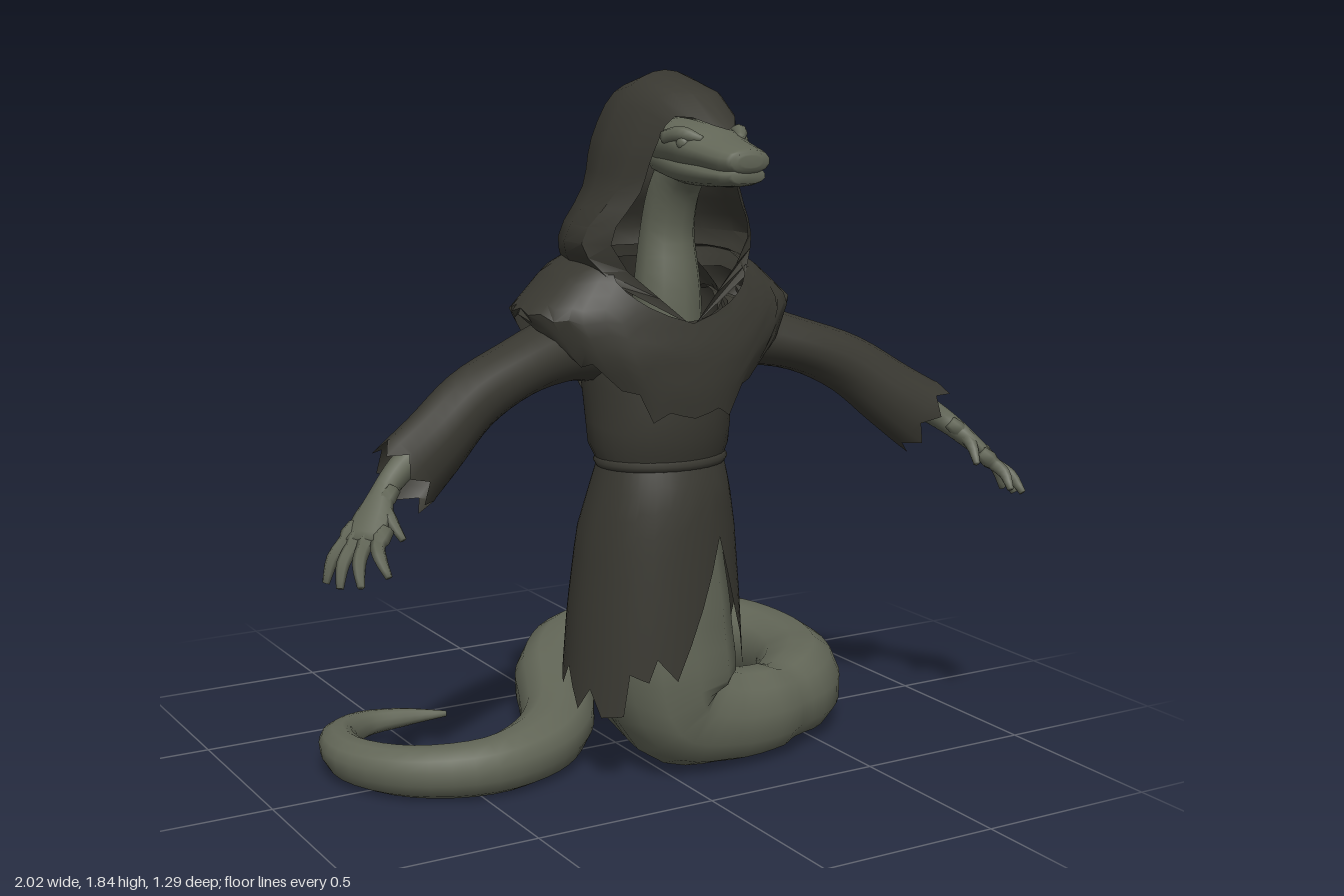
import * as THREE from 'three';
import { toCreasedNormals } from 'three/addons/utils/BufferGeometryUtils.js';

const V = (x, y, z) => new THREE.Vector3(x, y, z);
const lerp = THREE.MathUtils.lerp;
const bulge = (v, power) => Math.sign(v) * Math.abs(v) ** power;

// Surface through rows of points; wrap closes each row into a ring
function grid(rows, wrap = false) {
  const n = rows[0].length, index = [];
  for (let i = 0; i < rows.length - 1; i++) {
    for (let j = 0; j < (wrap ? n : n - 1); j++) {
      const k = (j + 1) % n, a = i * n + j, b = i * n + k;
      index.push(a, b, a + n, b, b + n, a + n);
    }
  }
  const geo = new THREE.BufferGeometry().setFromPoints(rows.flat());
  geo.setIndex(index);
  geo.computeVertexNormals();
  return geo;
}

// Tapered tube through [x, y, z, width, height] points, s mirrors x
function loft(pts, { s = 1, up = V(0, 1, 0), sides = 10, steps = 4, jag = 0, cap = true, power = 1 } = {}) {
  const path = new THREE.CatmullRomCurve3(pts.map(p => V(p[0] * s, p[1], p[2])));
  const size = new THREE.CatmullRomCurve3(pts.map(p => V(p[3], p[4] ?? p[3], 0)));
  const count = (pts.length - 1) * steps, rows = [], n = up.clone();
  for (let i = 0; i <= count; i++) {
    const c = path.getPoint(i / count), t = path.getTangent(i / count), r = size.getPoint(i / count);
    n.addScaledVector(t, -n.dot(t)).normalize();
    const b = t.clone().cross(n), row = [];
    for (let j = 0; j < sides; j++) {
      const a = j / sides * Math.PI * 2, p = c.clone();
      p.addScaledVector(n, bulge(Math.cos(a), power) * r.y).addScaledVector(b, bulge(Math.sin(a), power) * r.x);
      if (i === count) p.addScaledVector(t, j % 2 ? jag : -jag);
      row.push(p);
    }
    if (cap && i === 0) rows.push(row.map(() => c.clone()));
    rows.push(row);
    if (cap && i === count) rows.push(row.map(() => c.clone()));
  }
  return grid(rows, true);
}

// Cloth hung round the body: profile rows are [y, rx, centre z, rz] from the
// top down, the hem is [degrees from the front, y]
function cloth(profile, hem, { top = () => profile[0][0], power = 1, steps = 9 } = {}) {
  const at = y => {
    let i = 1;
    while (i < profile.length - 1 && profile[i][0] > y) i++;
    const a = profile[i - 1], b = profile[i];
    const k = THREE.MathUtils.clamp((a[0] - y) / (a[0] - b[0]), 0, 1);
    return a.map((v, q) => lerp(v, b[q], k));
  };
  const cols = [];
  hem.forEach(([d, y], i) => {
    const next = hem[i + 1];
    if (!next) return cols.push([d, y]);
    const m = Math.ceil((next[0] - d) / 11);
    for (let q = 0; q < m; q++) cols.push([lerp(d, next[0], q / m), lerp(y, next[1], q / m)]);
  });
  return toCreasedNormals(grid(cols.map(([d, low]) => {
    const a = d * Math.PI / 180, col = [];
    for (let j = 0; j <= steps; j++) {
      const y = lerp(top(d), low, j / steps), [, rx, cz, rz] = at(y);
      col.push(V(bulge(Math.sin(a), power) * rx, y, cz + bulge(Math.cos(a), power) * rz));
    }
    return col;
  })), 0.6);
}

export function createModel() {
  const model = new THREE.Group();
  const skin = new THREE.MeshStandardMaterial({ color: 0x626657 });
  skin.name = 'scaly skin';
  const robe = new THREE.MeshStandardMaterial({ color: 0x393831, side: THREE.DoubleSide });
  robe.name = 'dark cloth';
  const add = (name, geo, mat, parent = model) => {
    const mesh = new THREE.Mesh(geo, mat);
    mesh.name = name;
    parent.add(mesh);
    return mesh;
  };

  // Serpent body, coiling on the ground and tapering to the tail tip
  const trunk = [
    [0, 0.95, 0.235, 0.09], [0, 0.82, 0.235, 0.105], [0.01, 0.66, 0.215, 0.15], [0.02, 0.45, 0.207, 0.176],
    [0.03, 0.3, 0.21, 0.182], [0.06, 0.172, 0.225, 0.166], [0.18, 0.127, 0.248, 0.13], [0.33, 0.118, 0.235, 0.118]];
  const coil = [
    [0.48, 0.118, 0.16, 0.118], [0.585, 0.118, 0.02, 0.118], [0.627, 0.118, -0.16, 0.117],
    [0.6, 0.118, -0.335, 0.118, 0.122], [0.5, 0.118, -0.465, 0.118, 0.126], [0.32, 0.118, -0.518, 0.118, 0.13],
    [0.13, 0.116, -0.465, 0.116, 0.126], [-0.02, 0.106, -0.315, 0.106, 0.118], [-0.1, 0.094, -0.16, 0.094, 0.108]];
  const tail = [
    [-0.18, 0.084, -0.01, 0.084, 0.1], [-0.3, 0.077, 0.11, 0.077, 0.089], [-0.47, 0.07, 0.165, 0.07, 0.073],
    [-0.65, 0.064, 0.09, 0.064], [-0.748, 0.062, -0.07, 0.058], [-0.725, 0.062, -0.23, 0.05],
    [-0.62, 0.06, -0.32, 0.037], [-0.5, 0.06, -0.32, 0.026], [-0.38, 0.06, -0.29, 0.008]];
  add('serpentBody', loft([...trunk, ...coil, ...tail], { up: V(0, 0, 1), sides: 12, power: 0.86 }), skin);
  // Fold of the body resting behind the skirt
  add('bodyFold', loft([[0, 0.26, 0.2, 0.15], [0.06, 0.16, 0.1, 0.14], [0.13, 0.115, 0.0, 0.115],
    [0.185, 0.1, -0.07, 0.092], [0.225, 0.085, -0.125, 0.04]], { up: V(0, 0, 1), sides: 14 }), skin);

  // Torn skirt with a slit at the front
  add('skirt', cloth(
    [[0.86, 0.17, 0.235, 0.135], [0.78, 0.188, 0.23, 0.167], [0.66, 0.212, 0.212, 0.195],
      [0.45, 0.234, 0.203, 0.212], [0.2, 0.253, 0.2, 0.222]],
    [[-12, 0.3], [24, 0.66], [40, 0.46], [50, 0.38], [56, 0.27], [63, 0.42], [70, 0.38], [78, 0.45], [88, 0.38],
      [95, 0.4], [104, 0.31], [112, 0.34], [120, 0.28], [130, 0.33], [145, 0.25], [155, 0.3], [165, 0.24],
      [175, 0.31], [185, 0.25], [195, 0.31], [208, 0.24], [218, 0.31], [230, 0.23], [242, 0.3], [255, 0.25],
      [265, 0.31], [280, 0.21], [290, 0.27], [300, 0.2], [315, 0.21], [318, 0.32], [330, 0.3], [335, 0.36],
      [348, 0.3]]), robe);

  // Torso and belt
  add('torso', cloth(
    [[1.36, 0.13, 0.18, 0.1], [1.25, 0.2, 0.2, 0.16], [1.1, 0.205, 0.21, 0.18], [0.98, 0.195, 0.22, 0.175],
      [0.9, 0.192, 0.225, 0.163], [0.84, 0.168, 0.235, 0.133]],
    [[0, 0.84], [360, 0.84]], { top: d => 1.36 - 0.14 * Math.max(0, Math.cos(d * Math.PI / 180)) }), robe);
  const belt = add('belt', new THREE.TorusGeometry(1, 0.09, 6, 32), robe);
  belt.rotation.x = Math.PI / 2;
  belt.scale.set(0.168, 0.135, 0.17);
  belt.position.set(0, 0.853, 0.235);

  // Ragged mantle over the shoulders, with a V neck
  const half = [[0, 0.98], [14, 1.0], [26, 0.975], [34, 1.05], [45, 1.06], [52, 1.13], [62, 1.12], [70, 1.19],
    [80, 1.21], [90, 1.245], [104, 1.22], [116, 1.15], [122, 1.17], [134, 1.08], [142, 1.04], [150, 1.05],
    [165, 0.93], [172, 0.93], [180, 0.85]];
  const mirrored = half.slice(1).reverse().map(([d, y]) => [-d, y]);
  add('mantle', cloth(
    [[1.4, 0.17, 0.17, 0.16], [1.35, 0.28, 0.175, 0.18], [1.25, 0.39, 0.19, 0.2], [1.15, 0.335, 0.2, 0.212],
      [1.05, 0.24, 0.205, 0.21], [0.97, 0.218, 0.203, 0.203], [0.86, 0.2, 0.2, 0.2]],
    [...mirrored, ...half],
    { top: d => lerp(1.22, 1.38, Math.min(1, Math.abs(d) / 50)), power: 0.82 }), robe);

  // Hood: arches from the rim to the back, each from crown to shoulder
  const arches = [
    [[0, 1.705, 0.55], [0.085, 1.735, 0.44], [0.12, 1.65, 0.4], [0.14, 1.55, 0.37], [0.2, 1.42, 0.33], [0.005, 1.215, 0.392]],
    [[0, 1.785, 0.45], [0.09, 1.78, 0.37], [0.15, 1.66, 0.35], [0.18, 1.55, 0.32], [0.25, 1.42, 0.27], [0.19, 1.32, 0.335]],
    [[0, 1.842, 0.25], [0.1, 1.803, 0.25], [0.165, 1.67, 0.24], [0.19, 1.55, 0.22], [0.252, 1.42, 0.18], [0.215, 1.33, 0.18]],
    [[0, 1.815, 0.15], [0.09, 1.785, 0.15], [0.145, 1.67, 0.13], [0.165, 1.55, 0.12], [0.215, 1.42, 0.08], [0.19, 1.32, 0.08]],
    [[0, 1.755, 0.06], [0.075, 1.735, 0.07], [0.11, 1.65, 0.065], [0.12, 1.55, 0.055], [0.15, 1.42, 0], [0.13, 1.32, 0.01]],
    [[0, 1.68, 0], [0.04, 1.665, 0.02], [0.06, 1.6, 0.035], [0.06, 1.53, 0.03], [0.07, 1.42, -0.03], [0.06, 1.32, -0.005]],
    [[0, 1.665, 0], [0, 1.65, 0.01], [0, 1.6, 0.028], [0, 1.53, 0.02], [0, 1.42, -0.035], [0, 1.32, -0.005]],
  ];
  add('hood', toCreasedNormals(grid(arches.map(a => {
    const full = [...a.slice(1).reverse().map(p => V(-p[0], p[1], p[2])), ...a.map(p => V(...p))];
    return new THREE.CatmullRomCurve3(full).getPoints(30);
  })), 0.6), robe);

  // Neck and head with separate jaws
  add('neck', loft([[0, 1.12, 0.26, 0.1], [0, 1.3, 0.265, 0.088], [0, 1.45, 0.265, 0.07],
    [0, 1.57, 0.31, 0.066], [0, 1.65, 0.4, 0.06]], { up: V(0, 0, 1) }), skin);
  const head = new THREE.Group();
  head.name = 'head';
  model.add(head);
  add('skullAndUpperJaw', loft([[0, 1.665, 0.24, 0.07, 0.06], [0, 1.665, 0.36, 0.1, 0.06], [0, 1.66, 0.45, 0.102, 0.054],
    [0, 1.647, 0.53, 0.085, 0.042], [0, 1.637, 0.6, 0.073, 0.036], [0, 1.636, 0.638, 0.058, 0.028],
    [0, 1.636, 0.646, 0.03, 0.014]], { sides: 14, power: 0.9 }), skin, head);
  add('lowerJaw', loft([[0, 1.63, 0.3, 0.08, 0.045], [0, 1.612, 0.42, 0.09, 0.045], [0, 1.602, 0.53, 0.08, 0.034],
    [0, 1.6, 0.6, 0.068, 0.026], [0, 1.602, 0.636, 0.048, 0.019]], { sides: 14, power: 0.9 }), skin, head);

  for (const s of [1, -1]) {
    const side = s > 0 ? 'left' : 'right';
    // Eye, brow and nostril
    const eye = add(side + 'Eye', new THREE.SphereGeometry(0.02, 12, 8), skin, head);
    eye.position.set(s * 0.08, 1.673, 0.475);
    add(side + 'Brow', loft([[0.095, 1.685, 0.41, 0.018], [0.083, 1.694, 0.465, 0.02], [0.055, 1.682, 0.515, 0.01]],
      { s, sides: 8 }), skin, head);
    const nostril = add(side + 'Nostril', new THREE.SphereGeometry(0.007, 8, 6), robe, head);
    nostril.position.set(s * 0.03, 1.65, 0.636);

    // Sleeve with a torn cuff
    add(side + 'Sleeve', toCreasedNormals(loft([[0.14, 1.17, 0.19, 0.11, 0.12], [0.28, 1.15, 0.2, 0.1, 0.085],
      [0.42, 1.115, 0.235, 0.09, 0.072], [0.56, 1.055, 0.27, 0.078, 0.08], [0.68, 0.965, 0.31, 0.07, 0.092],
      [0.77, 0.9, 0.337, 0.066, 0.102]], { s, sides: 14, jag: 0.02, cap: false }), 0.7), robe);

    // Forearm, palm and spread fingers
    const hand = new THREE.Group();
    hand.name = side + 'Hand';
    model.add(hand);
    add('forearm', loft([[0.6, 1.02, 0.28, 0.035], [0.76, 0.935, 0.335, 0.035], [0.83, 0.885, 0.37, 0.03],
      [0.88, 0.835, 0.41, 0.052, 0.024], [0.925, 0.785, 0.445, 0.056, 0.018]], { s }), skin, hand);
    [[1.0, 0.69, 0.41, 0.945, 0.785, 0.405], [0.99, 0.69, 0.47, 0.94, 0.775, 0.43], [0.965, 0.705, 0.535, 0.925, 0.775, 0.46],
      [0.905, 0.725, 0.555, 0.9, 0.785, 0.485], [0.84, 0.79, 0.49, 0.85, 0.86, 0.41]].forEach(([x, y, z, bx, by, bz], i) => {
      const knuckle = [(x + bx) / 2 + 0.008, (y + by) / 2 + 0.008, (z + bz) / 2, 0.016];
      add('finger' + (i + 1), loft([[bx - 0.03, by + 0.03, bz - 0.015, 0.018], [bx, by, bz, 0.018], knuckle, [x, y, z, 0.009]],
        { s, sides: 6, steps: 3 }), skin, hand);
    });
  }
  return model;
}
